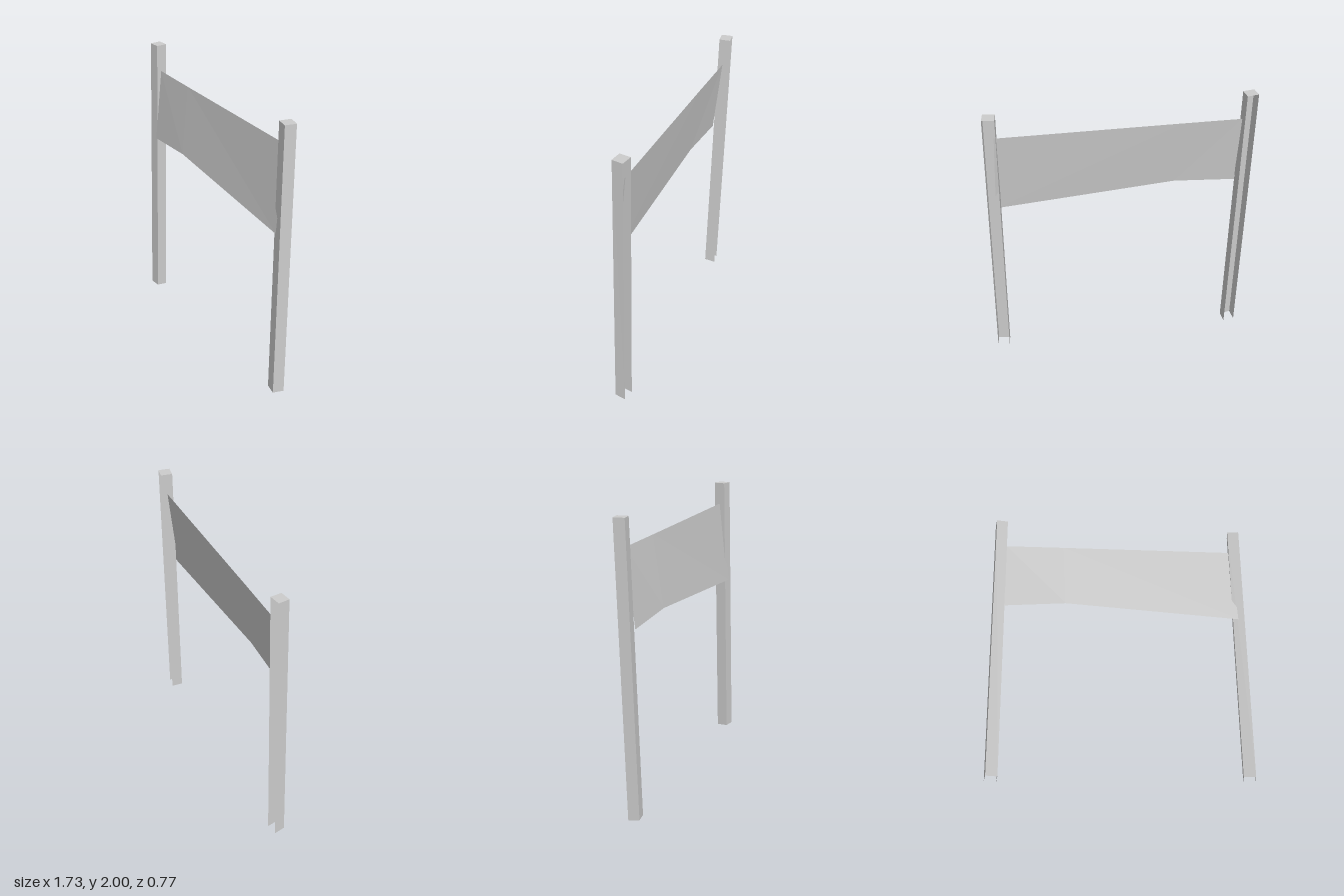
import * as THREE from 'three';

const material = new THREE.MeshStandardMaterial({ color: 0xcccccc, flatShading: true, side: THREE.DoubleSide });

// Mesh from four-cornered faces, each listed counter-clockwise
function quadMesh(name, quads) {
  const positions = [];
  for (const [a, b, c, d] of quads) positions.push(...a, ...b, ...c, ...a, ...c, ...d);
  const geometry = new THREE.BufferGeometry();
  geometry.setAttribute('position', new THREE.Float32BufferAttribute(positions, 3));
  geometry.computeVertexNormals();
  const mesh = new THREE.Mesh(geometry, material);
  mesh.name = name;
  return mesh;
}

// Leaning post, open at the back and underneath.
// Plan corners [x, z] run back -x, back +x, front +x, front -x.
function makePost(name, plan, leanX, leanZ, backY, frontY) {
  const top = plan.map(([x, z]) => [x, 2, z]);
  const foot = plan.map(([x, z], i) => [x + leanX, i < 2 ? backY : frontY, z + leanZ]);
  const quads = [[top[3], top[2], top[1], top[0]]];
  for (let i = 1; i < 4; i++) {
    const j = (i + 1) % 4;
    quads.push([top[j], foot[j], foot[i], top[i]]);
  }
  return quadMesh(name, quads);
}

export function createModel() {
  const model = new THREE.Group();
  model.name = 'bannerOnPosts';

  model.add(makePost('rightPost',
    [[-0.85, -0.385], [-0.77, -0.367], [-0.79, -0.292], [-0.868, -0.31]], 0, 0.067, 0.0, 0.012));
  model.add(makePost('leftPost',
    [[0.785, 0.232], [0.857, 0.275], [0.817, 0.343], [0.745, 0.302]], 0.005, 0.042, 0.06, 0.065));

  // Thin sheet hung between the posts, its lower edge kinked
  const upper = [[-0.78, 1.805, -0.318], [-0.39, 1.815, -0.168], [0.78, 1.845, 0.275]];
  const lower = [[-0.795, 1.285, -0.26], [-0.39, 1.322, -0.1], [0.775, 1.255, 0.345]];
  const panels = [0, 1].map((i) => [upper[i], lower[i], lower[i + 1], upper[i + 1]]);
  model.add(quadMesh('banner', panels));

  return model;
}
